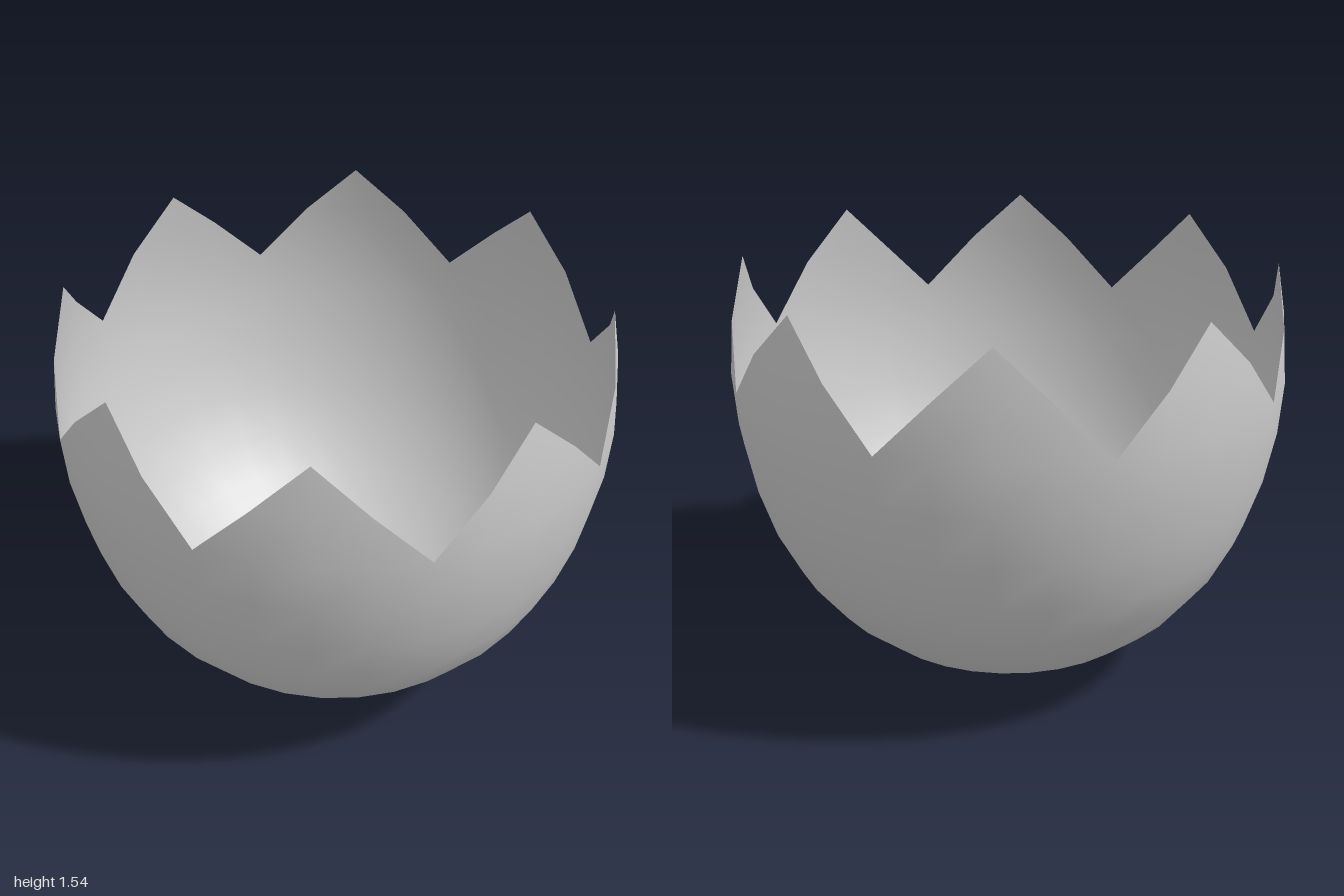
import * as THREE from 'three';

const SEGMENTS = 32;

// Egg profile from the bottom up: [radius, height]; the last two rings only carry the teeth
const PROFILE = [
  [0.2, 0.02], [0.375, 0.075], [0.535, 0.165], [0.68, 0.285], [0.8, 0.435], [0.885, 0.6],
  [0.945, 0.78], [0.985, 0.975], [1, 1.165], [0.985, 1.365], [0.955, 1.545],
];

// Highest ring reached by each column: valley, slope, peak, slope
const TOOTH = [8, 9, 10, 9];

function shellGeometry() {
  const positions = [0, 0, 0]; // bottom pole
  for (const [r, y] of PROFILE) {
    for (let i = 0; i < SEGMENTS; i++) {
      const a = (i / SEGMENTS) * Math.PI * 2;
      positions.push(r * Math.sin(a), y, r * Math.cos(a));
    }
  }

  // Vertex of a column, held at the broken edge where the column ends
  const vertex = (i, j) => {
    const column = i % SEGMENTS;
    return 1 + Math.min(j, TOOTH[column % 4]) * SEGMENTS + column;
  };

  const index = [];
  const triangle = (a, b, c) => {
    if (a !== b && b !== c && c !== a) index.push(a, b, c);
  };
  for (let i = 0; i < SEGMENTS; i++) {
    triangle(0, vertex(i + 1, 0), vertex(i, 0));
    for (let j = 0; j < PROFILE.length - 1; j++) {
      const a = vertex(i, j), b = vertex(i + 1, j);
      const c = vertex(i + 1, j + 1), d = vertex(i, j + 1);
      triangle(a, b, c);
      triangle(a, c, d);
    }
  }

  const geometry = new THREE.BufferGeometry();
  geometry.setAttribute('position', new THREE.Float32BufferAttribute(positions, 3));
  geometry.setIndex(index);
  geometry.computeVertexNormals();
  return geometry;
}

export function createModel() {
  const group = new THREE.Group();
  group.name = 'crackedEgg';

  // Thin open shell with a zigzag rim of eight teeth
  const material = new THREE.MeshStandardMaterial({ color: 0xcccccc, side: THREE.DoubleSide });
  const shell = new THREE.Mesh(shellGeometry(), material);
  shell.name = 'eggshell';
  group.add(shell);
  return group;
}
